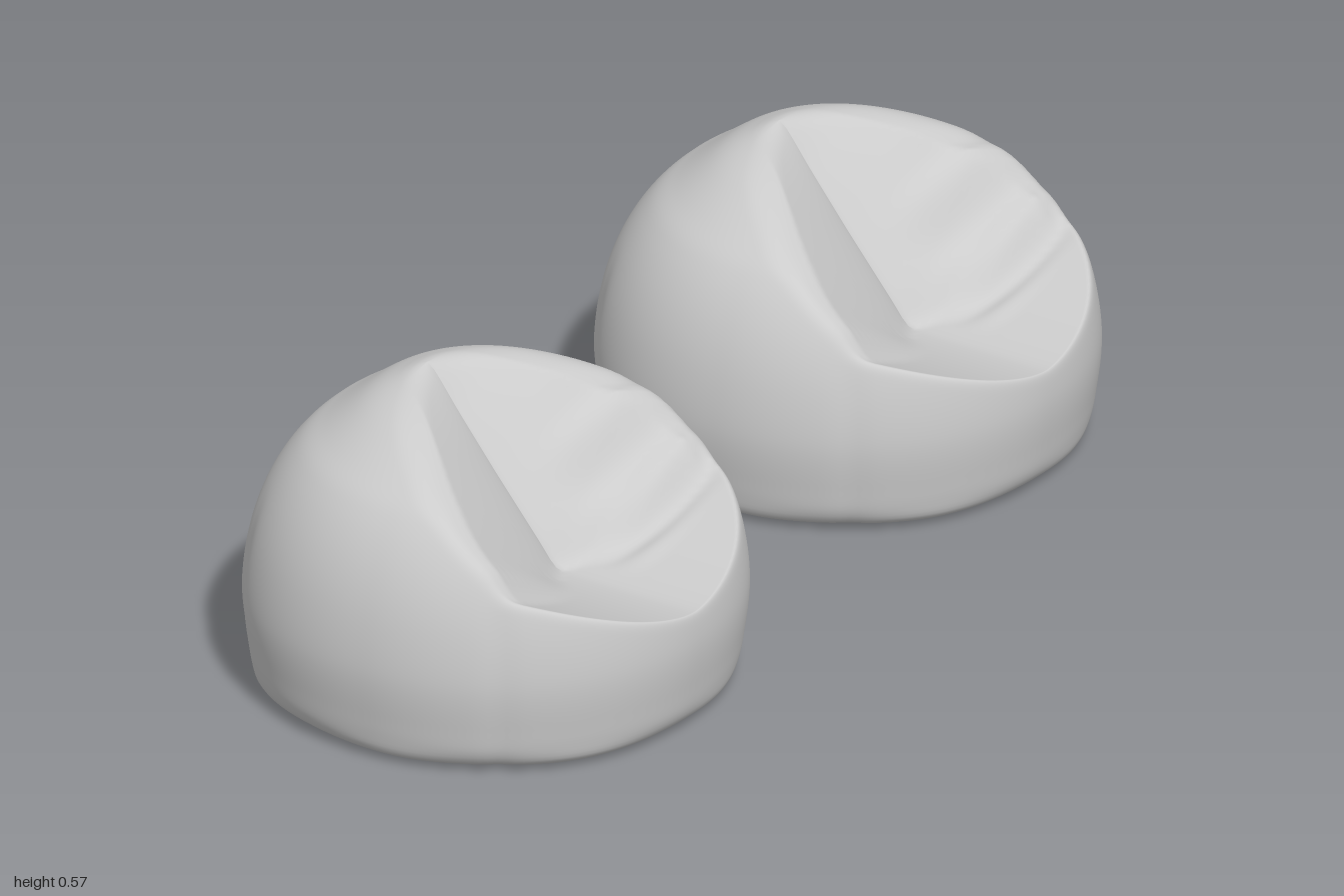
import * as THREE from 'three';
import { mergeVertices } from 'three/addons/utils/BufferGeometryUtils.js';

const { lerp, clamp, smoothstep } = THREE.MathUtils;

// Piecewise-linear lookup in a list of [x, y] points
function lookup(points, x) {
  for (let i = 1; i < points.length; i++) {
    const [x0, y0] = points[i - 1], [x1, y1] = points[i];
    if (x <= x1) return lerp(y0, y1, clamp((x - x0) / (x1 - x0), 0, 1));
  }
  return points[points.length - 1][1];
}

// Smooth minimum and maximum, which round the rim and the crease
function softMin(a, b, k) {
  const h = Math.max(k - Math.abs(a - b), 0) / k;
  return Math.min(a, b) - h * h * k * 0.25;
}
const softMax = (a, b, k) => -softMin(-a, -b, k);

// Backrest heights: along its wings, and along the valley in its middle
const wing = [[-0.3, 0.69], [-0.145, 0.592], [-0.1, 0.57], [0, 0.52], [0.1, 0.463], [0.2, 0.388], [0.26, 0.31], [0.4, 0.1]];
const valley = [[-0.3, 0.69], [-0.145, 0.588], [-0.08, 0.5], [0, 0.4], [0.1, 0.28], [0.16, 0.2], [0.4, 0.1]];

// Height of the sat-in hollow: a V-shaped backrest meeting a dished seat
function hollowHeight(x, z) {
  const side = Math.abs(z);
  const width = lerp(0.07, 0.3, smoothstep(x, -0.2, 0.2));
  const back = lerp(lookup(valley, x), lookup(wing, x), Math.min(1, side / width) ** 0.85);
  const seat = 0.242 + 0.093 * Math.min(1.1, side / 0.3) ** 1.5;
  // folds in the cloth on one side of the crease
  const fold = smoothstep(x, 0, 0.1) * (1 - smoothstep(x, 0.2, 0.3)) * smoothstep(-z, 0.03, 0.15);
  return softMax(back, seat, 0.02) + fold * 0.009 * Math.sin(x * 62 + z * 18);
}

function beanBagGeometry() {
  // Outer profile from the open hem up to the peak
  const profile = new THREE.SplineCurve([
    [0.368, 0.006], [0.41, 0.03], [0.426, 0.1], [0.433, 0.19], [0.42, 0.29], [0.392, 0.375],
    [0.35, 0.445], [0.3, 0.49], [0.2, 0.543], [0.1, 0.569], [0, 0.582],
  ].map(([r, y]) => new THREE.Vector2(r, y))).getSpacedPoints(100);
  profile[profile.length - 1].x = 0;

  let geometry = new THREE.LatheGeometry(profile, 160);
  geometry.deleteAttribute('uv');
  geometry.deleteAttribute('normal');
  geometry = mergeVertices(geometry, 1e-5);

  const pos = geometry.attributes.position;
  const seams = [0.6, Math.PI - 0.6, Math.PI + 0.9, -0.9];
  for (let i = 0; i < pos.count; i++) {
    let x = pos.getX(i), y = pos.getY(i), z = pos.getZ(i);
    const r = Math.hypot(x, z), angle = Math.atan2(x, z);

    // two opposite corners bulge a little
    let scale = 1 + 0.045 * Math.max(0, -Math.sin(2 * angle)) ** 1.5;
    // shallow vertical seams and a slightly puckered hem
    for (const seam of seams) {
      const d = Math.atan2(Math.sin(angle - seam), Math.cos(angle - seam));
      scale -= 0.008 * Math.exp(-((d / 0.06) ** 2)) * (1 - smoothstep(y, 0.28, 0.4)) * smoothstep(r, 0.2, 0.4);
    }
    scale += 0.01 * Math.sin(angle * 7 + 1) * (1 - smoothstep(y, 0.005, 0.06));
    x *= scale;
    z *= scale;

    // the peak leans towards the back of the seat
    if (y > 0.4) x -= 0.145 * Math.max(0, 1 - r / 0.3) ** 1.5;

    // press the hollow into the dome
    if (y > 0.15) y = softMin(y, hollowHeight(x, z), 0.025);
    pos.setXYZ(i, x, y, z);
  }
  geometry.computeVertexNormals();
  return geometry;
}

export function createModel() {
  const group = new THREE.Group();
  group.name = 'beanBagPair';
  const material = new THREE.MeshStandardMaterial({ color: 0xcccccc, side: THREE.DoubleSide });
  const geometry = beanBagGeometry();

  // Two identical bags side by side, both facing +x
  for (const [name, z] of [['frontBeanBag', 0.566], ['backBeanBag', -0.566]]) {
    const bag = new THREE.Mesh(geometry, material);
    bag.name = name;
    bag.position.z = z;
    group.add(bag);
  }
  return group;
}
